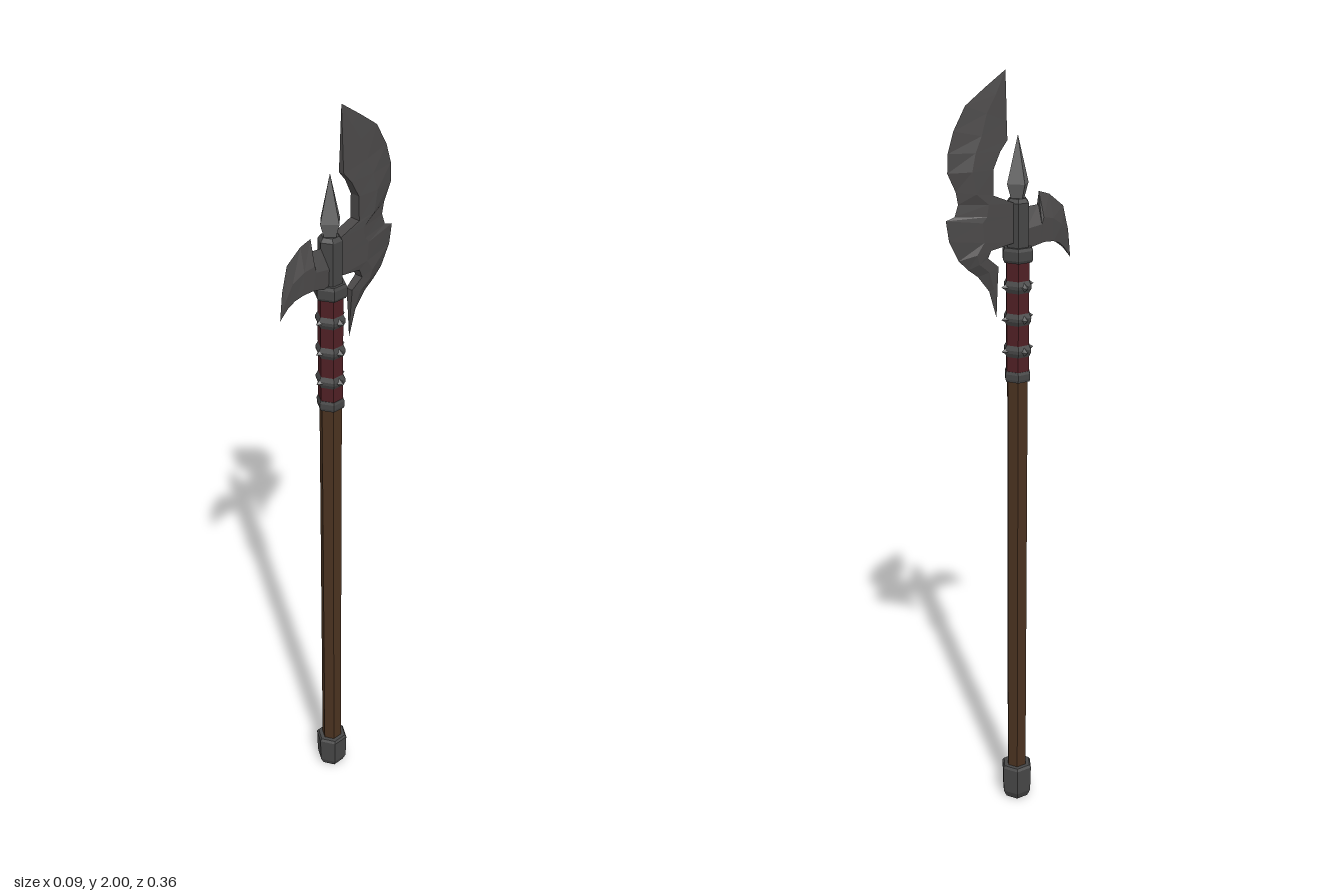
import * as THREE from 'three';

const material = (name, color, side = THREE.FrontSide) => {
  const m = new THREE.MeshStandardMaterial({ color, side });
  m.name = name;
  m.flatShading = true;
  return m;
};

const AXIS_Z = 0.022; // the shaft sits slightly forward of the centre

// Faceted turned part; profile is a list of [radius, y], corners on the z axis
function turned(name, profile, sides, mat) {
  const pts = profile.map(([r, y]) => new THREE.Vector2(r, y));
  const geo = new THREE.LatheGeometry(pts, sides).toNonIndexed();
  geo.computeVertexNormals();
  const mesh = new THREE.Mesh(geo, mat);
  mesh.name = name;
  mesh.position.z = AXIS_Z;
  return mesh;
}

// Blade from stations [edgeZ, edgeY, backZ, backY, halfThickness]:
// sharp outer edge, ridge halfway, blunt back
function blade(name, stations, mat) {
  const rings = stations.map(([ez, ey, bz, by, t]) => {
    const mz = (ez + bz) / 2, my = (ey + by) / 2;
    return [[0, ey, ez], [t, my, mz], [t * 0.9, by, bz], [-t * 0.9, by, bz], [-t, my, mz]];
  });
  const pos = [];
  const n = 5;
  for (let i = 0; i < rings.length - 1; i++) {
    for (let j = 0; j < n; j++) {
      const a = rings[i][j], b = rings[i][(j + 1) % n];
      const c = rings[i + 1][(j + 1) % n], d = rings[i + 1][j];
      pos.push(...a, ...b, ...c, ...a, ...c, ...d);
    }
  }
  const geo = new THREE.BufferGeometry();
  geo.setAttribute('position', new THREE.Float32BufferAttribute(pos, 3));
  geo.computeVertexNormals();
  const mesh = new THREE.Mesh(geo, mat);
  mesh.name = name;
  return mesh;
}

export function createModel() {
  const model = new THREE.Group();
  model.name = 'poleaxe';
  const iron = material('dark iron', 0x464646);
  const steel = material('blade steel', 0x4a4848, THREE.DoubleSide);
  const bright = material('polished steel', 0x626262);
  const wood = material('brown wood', 0x4a3220);
  const leather = material('red leather', 0x4f1f24);

  // Shaft, pommel and grip
  model.add(
    turned('pommel', [[0, 0], [0.034, 0], [0.043, 0.02], [0.045, 0.095], [0.04, 0.102], [0, 0.102]], 6, iron),
    turned('shaft', [[0.028, 0.09], [0.029, 1.25]], 6, wood),
    turned('lowerCollar', [[0, 1.24], [0.034, 1.24], [0.036, 1.247], [0.036, 1.26], [0.033, 1.267], [0, 1.267]], 6, iron),
    turned('leatherWrap', [[0.032, 1.26], [0.032, 1.56]], 6, leather),
    turned('upperCollar', [[0, 1.545], [0.038, 1.545], [0.042, 1.552], [0.042, 1.574], [0.038, 1.582], [0, 1.582]], 6, iron),
    turned('socket', [[0.03, 1.58], [0.03, 1.69], [0.022, 1.7], [0, 1.7]], 6, iron),
    turned('topSpike', [[0.018, 1.695], [0.031, 1.735], [0, 1.85]], 4, bright)
  );

  // Rings with four pointed studs each
  for (const y of [1.32, 1.402, 1.484]) {
    const ring = new THREE.Group();
    ring.name = 'studdedRing';
    ring.add(turned('ringBand', [[0.031, y - 0.017], [0.038, y - 0.004], [0.038, y + 0.004], [0.031, y + 0.017]], 6, iron));
    for (let k = 0; k < 4; k++) {
      const stud = new THREE.Mesh(new THREE.ConeGeometry(0.013, 0.02, 4), bright);
      const a = (k * Math.PI) / 2;
      stud.name = 'stud';
      stud.rotation.set(Math.PI / 2, a, 0, 'YXZ');
      stud.position.set(Math.sin(a) * 0.037, y, AXIS_Z + Math.cos(a) * 0.037);
      ring.add(stud);
    }
    model.add(ring);
  }

  // Large crescent blade at the rear, tip to tip
  model.add(blade('crescentBlade', [
    [-0.013, 2.0, -0.013, 2.0, 0],
    [-0.071, 1.962, -0.013, 1.93, 0.004],
    [-0.124, 1.925, -0.013, 1.885, 0.006],
    [-0.156, 1.87, -0.013, 1.84, 0.009],
    [-0.172, 1.82, -0.035, 1.815, 0.012],
    [-0.174, 1.775, -0.056, 1.775, 0.015],
    [-0.152, 1.73, -0.057, 1.715, 0.016],
    [-0.146, 1.7, 0.005, 1.69, 0.016],
    [-0.156, 1.672, 0.005, 1.66, 0.016],
    [-0.18, 1.665, 0.005, 1.64, 0.016],
    [-0.172, 1.615, 0.005, 1.595, 0.016],
    [-0.146, 1.565, -0.06, 1.588, 0.015],
    [-0.12, 1.54, -0.071, 1.565, 0.013],
    [-0.093, 1.52, -0.04, 1.54, 0.011],
    [-0.061, 1.48, -0.04, 1.49, 0.006],
    [-0.04, 1.41, -0.04, 1.41, 0]
  ], steel));

  // Hooked beak at the front
  model.add(blade('hookedBeak', [
    [0.035, 1.675, 0.035, 1.575, 0.018],
    [0.082, 1.678, 0.08, 1.585, 0.018],
    [0.083, 1.71, 0.09, 1.587, 0.018],
    [0.114, 1.7, 0.119, 1.585, 0.015],
    [0.156, 1.667, 0.14, 1.577, 0.01],
    [0.172, 1.605, 0.158, 1.563, 0.005],
    [0.18, 1.535, 0.18, 1.535, 0]
  ], steel));

  return model;
}
